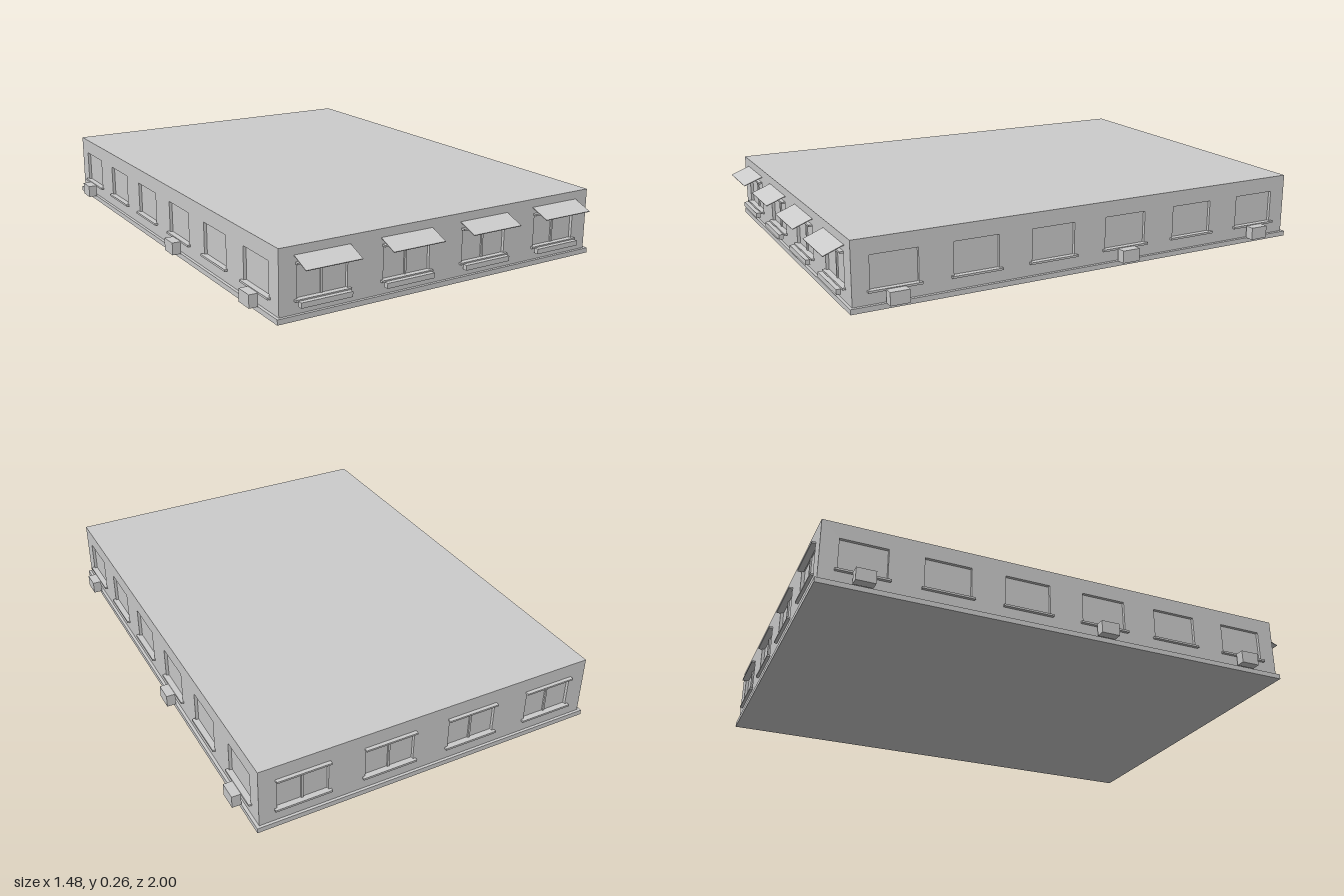
import * as THREE from 'three';

const HX = 0.693, ZF = 0.923, ZB = -0.985, TOP = 0.262; // wall faces and roof height
const REVEAL = 0.012, SILL_Y = 0.073, HEAD_Y = 0.2;
const END_XS = [-0.523, -0.175, 0.175, 0.523];
const SIDE_ZS = [0.765, 0.448, 0.13, -0.19, -0.508, -0.826];

export function createModel() {
  const model = new THREE.Group();
  const grey = new THREE.MeshStandardMaterial({ color: 0xcccccc });
  grey.name = 'concrete grey';

  function box(parent, name, w, h, d, x, y, z) {
    const m = new THREE.Mesh(new THREE.BoxGeometry(w, h, d), grey);
    m.name = name;
    m.position.set(x, y, z);
    parent.add(m);
    return m;
  }

  // A wall in its own frame: outer face at z = 0, facing +z, with window holes
  function wall(name, width, centres, winW) {
    const g = new THREE.Group();
    g.name = name;
    const s = new THREE.Shape([
      new THREE.Vector2(-width / 2, 0), new THREE.Vector2(width / 2, 0),
      new THREE.Vector2(width / 2, TOP), new THREE.Vector2(-width / 2, TOP),
    ]);
    for (const c of centres) {
      s.holes.push(new THREE.Path([
        new THREE.Vector2(c - winW / 2, SILL_Y), new THREE.Vector2(c - winW / 2, HEAD_Y),
        new THREE.Vector2(c + winW / 2, HEAD_Y), new THREE.Vector2(c + winW / 2, SILL_Y),
      ]));
    }
    const panel = new THREE.Mesh(
      new THREE.ExtrudeGeometry(s, { depth: REVEAL, bevelEnabled: false }), grey);
    panel.name = name + 'Panel';
    panel.position.z = -REVEAL;
    g.add(panel);
    for (const c of centres) {
      box(g, 'windowSill', winW + 0.022, 0.008, 0.02, c, SILL_Y - 0.003, 0.002);
    }
    model.add(g);
    return g;
  }

  // Solid core: roof and window panes
  const zMid = (ZF + ZB) / 2, depth = ZF - ZB;
  box(model, 'roofAndPanes', 2 * (HX - REVEAL), TOP, depth - 2 * REVEAL, 0, TOP / 2, zMid);

  // Plinth
  box(model, 'plinth', 2 * 0.705, 0.02, depth + 0.022, 0, 0.01, zMid);

  // Front and back walls with mullions and lintels
  const endWidth = 2 * (HX - REVEAL);
  const front = wall('frontWall', endWidth, END_XS, 0.2);
  front.position.z = ZF;
  const back = wall('backWall', endWidth, END_XS, 0.2);
  back.position.z = ZB;
  back.rotation.y = Math.PI;
  for (const g of [front, back]) {
    for (const c of END_XS) {
      box(g, 'mullion', 0.008, HEAD_Y - SILL_Y, 0.006, c, (HEAD_Y + SILL_Y) / 2, -REVEAL + 0.003);
      box(g, 'lintel', 0.212, 0.007, 0.023, c, HEAD_Y + 0.001, 0.0035);
    }
  }

  // Awnings and window boxes on the front
  for (const c of END_XS) {
    const rise = 0.03, reach = 1 - ZF;
    const awning = box(front, 'awning', 0.222, 0.003, Math.hypot(rise, reach),
      c, 0.2135, reach / 2);
    awning.rotation.x = Math.atan2(rise, reach);
    box(front, 'windowBox', 0.205, 0.02, 0.018, c, 0.06, 0.023);
  }

  // Side walls with hanging air conditioners
  const sides = [
    { name: 'leftWall', s: 1, units: [0.765, -0.19, -0.826] },
    { name: 'rightWall', s: -1, units: [0.765, 0.13, -0.826] },
  ];
  for (const { name, s, units } of sides) {
    const g = wall(name, depth, SIDE_ZS.map((z) => -s * (z - zMid)), 0.182);
    g.position.set(s * HX, 0, zMid);
    g.rotation.y = s * Math.PI / 2;
    for (const z of units) {
      box(g, 'airConditioner', 0.075, 0.05, 0.036, -s * (z - zMid), 0.046, 0.03);
    }
  }
  return model;
}
